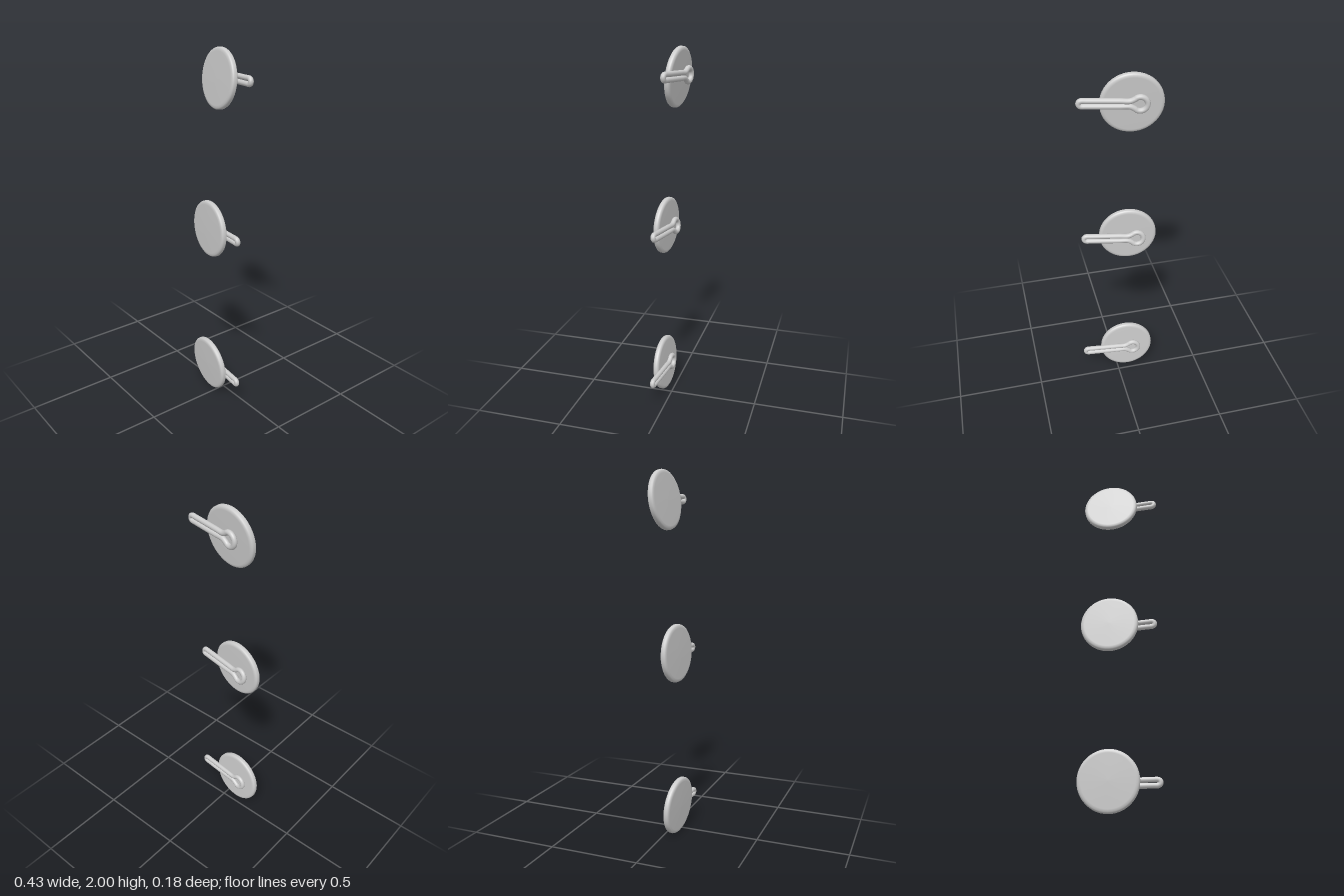
import * as THREE from 'three';

const V = (x, y) => new THREE.Vector2(x, y);

// Flat round disc with softly rolled edges, facing +z
function discGeometry() {
  const R = 0.159, h = 0.018;
  const profile = [
    V(0, -h), V(0.140, -h), V(0.150, -h + 0.002), V(0.156, -h + 0.006), V(R, -h + 0.011),
    V(R, h - 0.012), V(0.156, h - 0.006), V(0.150, h - 0.002), V(0.138, h), V(0, h + 0.001),
  ];
  return new THREE.LatheGeometry(profile, 48).rotateX(Math.PI / 2);
}

// Closed wire: a round eye at the origin running into two parallel legs along +x
function pinGeometry() {
  const eye = 0.036, gap = 0.0145, end = 0.281, wire = 0.014;
  const points = [];
  const a0 = 0.75;
  for (let i = 0; i <= 12; i++) {
    const a = a0 + (i / 12) * (2 * Math.PI - 2 * a0);
    points.push(new THREE.Vector3(eye * Math.cos(a), eye * Math.sin(a), 0));
  }
  for (const x of [0.048, 0.10, 0.19, 0.26]) points.push(new THREE.Vector3(x, -gap, 0));
  for (let i = 0; i <= 4; i++) {
    const a = -Math.PI / 2 + (i / 4) * Math.PI;
    points.push(new THREE.Vector3(end + gap * Math.cos(a), gap * Math.sin(a), 0));
  }
  for (const x of [0.26, 0.19, 0.10, 0.048]) points.push(new THREE.Vector3(x, gap, 0));
  const path = new THREE.CatmullRomCurve3(points, true, 'centripetal');
  return new THREE.TubeGeometry(path, 120, wire, 12, true);
}

export function createModel() {
  const model = new THREE.Group();
  const material = new THREE.MeshStandardMaterial({ color: 0xcccccc });
  const disc = discGeometry(), pin = pinGeometry();

  // Each button hangs at its own slight tilt: position, then rotation
  const buttons = [
    { name: 'topButton',
      disc: [[-0.061, 1.842, -0.020], [-0.10, -0.12, 0]],
      pin: [[-0.09, 1.852, -0.066], [-0.04, -0.18, 0.02]] },
    { name: 'middleButton',
      disc: [[-0.061, 1.025, 0.047], [-0.02, -0.11, 0]],
      pin: [[-0.105, 1.012, 0.006], [0.12, -0.14, 0.06]] },
    { name: 'bottomButton',
      disc: [[-0.061, 0.160, 0.057], [0.06, -0.08, 0]],
      pin: [[-0.095, 0.150, 0.027], [0.06, -0.10, 0.01]] },
  ];

  for (const b of buttons) {
    const group = new THREE.Group();
    group.name = b.name;
    for (const [name, geometry, [pos, rot]] of [['disc', disc, b.disc], ['loopPin', pin, b.pin]]) {
      const mesh = new THREE.Mesh(geometry, material);
      mesh.name = name;
      mesh.position.set(...pos);
      mesh.rotation.set(...rot);
      group.add(mesh);
    }
    model.add(group);
  }
  return model;
}
